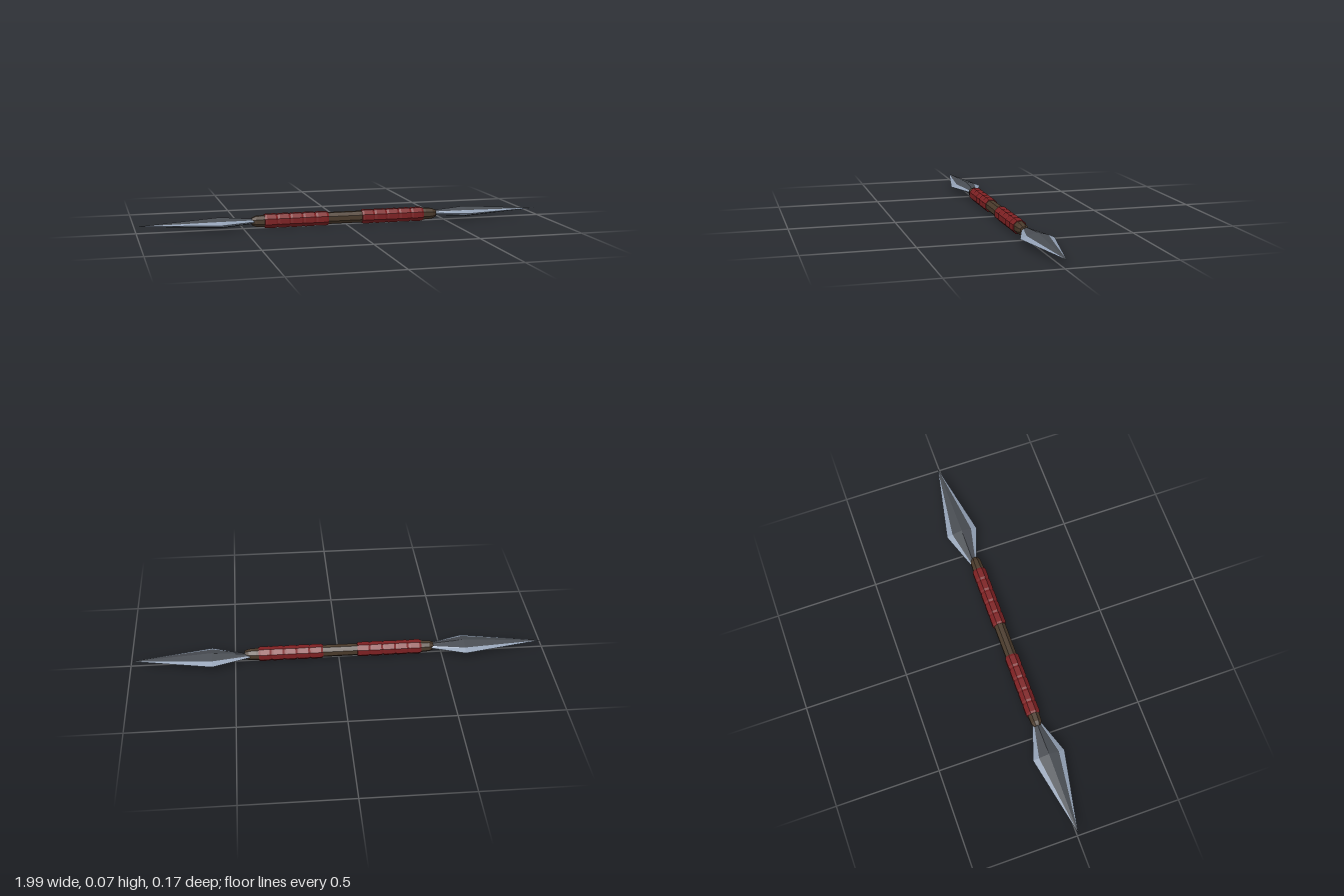
import * as THREE from 'three';

const mat = (color) => new THREE.MeshStandardMaterial({ color, flatShading: true });
const wood = mat(0x4a3a2b), wrap = mat(0x7d2022), darkSteel = mat(0x484c52), edgeSteel = mat(0x93a1b5);

// Octagonal bar along x from [apothem, x] pairs, with flats facing up and down
function octagonBar(profile) {
  const k = 1 / Math.cos(Math.PI / 8);
  const pts = profile.map(([r, x]) => new THREE.Vector2(r * k, x));
  return new THREE.LatheGeometry(pts, 8, Math.PI / 8).rotateZ(-Math.PI / 2);
}

// Blade stations along x: [x, ridge height, shoulder y, shoulder z, edge z]
const stations = [
  [0.43, 0.010, 0.006, 0.010, 0.016],
  [0.61, 0.026, 0.013, 0.049, 0.078],
  [0.995, 0, 0, 0, 0],
];

// Loft the eight-sided blade section; only the listed sides are made
function bladeGeometry(sides) {
  const rings = stations.map(([x, h, sy, sz, e]) => [
    [h, 0], [sy, sz], [0, e], [-sy, sz], [-h, 0], [-sy, -sz], [0, -e], [sy, -sz],
  ].map(([y, z]) => [x, y, z]));
  const pos = [];
  for (let i = 0; i < rings.length - 1; i++) {
    for (const s of sides) {
      const n = (s + 1) % 8;
      const a = rings[i][s], b = rings[i][n], c = rings[i + 1][n], d = rings[i + 1][s];
      pos.push(...a, ...b, ...d);
      if (i < rings.length - 2) pos.push(...b, ...c, ...d);
    }
  }
  const g = new THREE.BufferGeometry();
  g.setAttribute('position', new THREE.Float32BufferAttribute(pos, 3));
  g.computeVertexNormals();
  return g;
}

export function createModel() {
  const model = new THREE.Group();
  model.name = 'doubleBladedStaff';
  const add = (parent, name, geometry, material) => {
    const mesh = new THREE.Mesh(geometry, material);
    mesh.name = name;
    parent.add(mesh);
    return mesh;
  };

  // Handle with wrapped grips
  const handle = new THREE.Group();
  handle.name = 'handle';
  handle.position.set(0, 0.036, 0.004);
  model.add(handle);
  add(handle, 'shaft', octagonBar([
    [0, -0.46], [0.017, -0.46], [0.025, -0.44], [0.027, -0.40],
    [0.027, 0.40], [0.025, 0.435], [0.017, 0.455], [0, 0.455],
  ]), wood);
  const pitch = 0.062;
  for (const start of [-0.4, 0.077]) {
    for (let i = 0; i < 5; i++) {
      const h = pitch / 2;
      const band = add(handle, 'gripBand', octagonBar([
        [0.025, -h], [0.030, -h], [0.033, -h + 0.01],
        [0.033, h - 0.01], [0.030, h], [0.025, h],
      ]), wrap);
      band.position.x = start + pitch * (i + 0.5);
    }
  }

  // Blades at both ends
  const body = bladeGeometry([0, 3, 4, 7]);
  const edges = bladeGeometry([1, 2, 5, 6]);
  for (const [name, z, turn] of [['leftBlade', -0.009, 0], ['rightBlade', 0.004, Math.PI]]) {
    const blade = new THREE.Group();
    blade.name = name;
    blade.position.set(0, 0.037, z);
    blade.rotation.y = turn;
    add(blade, 'bladeBody', body, darkSteel);
    add(blade, 'bladeEdges', edges, edgeSteel);
    model.add(blade);
  }
  return model;
}
